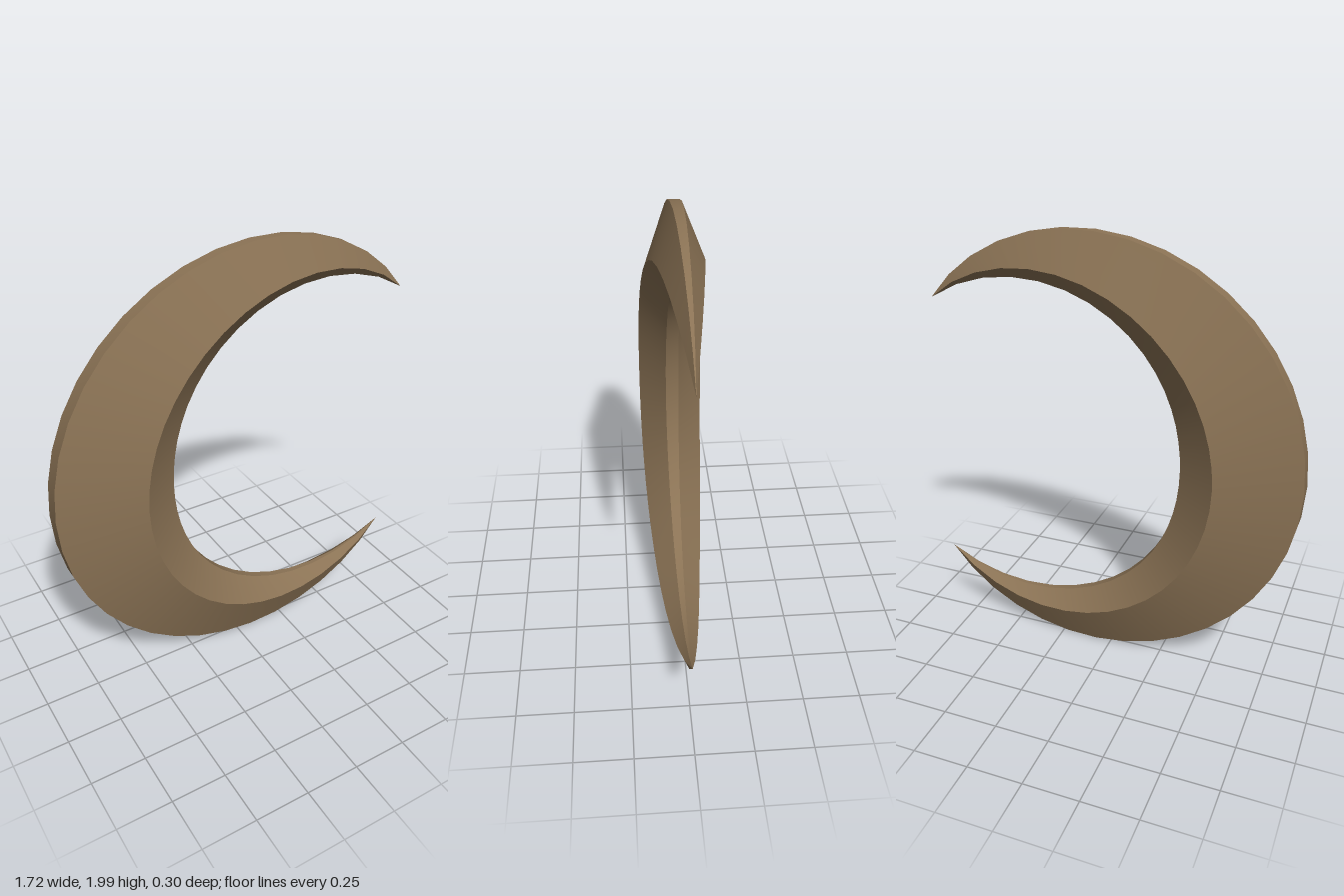
import * as THREE from 'three';
import { mergeGeometries } from 'three/addons/utils/BufferGeometryUtils.js';

const SEGMENTS = 32;
const CENTER_X = 0.14, CENTER_Y = 1;
const HALF_SWEEP = THREE.MathUtils.degToRad(138);

// Six-cornered cross-section at u (-1 = upper tip, 0 = thickest, 1 = lower tip)
function crossSection(u) {
  const a = Math.abs(u);
  const angle = Math.PI + u * HALF_SWEEP;
  const taper = Math.max(Math.cos(a * Math.PI / 2), 0.002);
  const outer = 1 - 0.037 * a ** 6;
  const ridge = outer - 0.36 * taper;
  const inner = outer - 0.535 * taper;
  const ridgeZ = 0.15 * Math.max(1 - a ** 2.5, 0.003);
  const edge = Math.max(1 - a * a, 0.003);
  const outerZ = 0.035 * edge, innerZ = 0.03 * edge;
  return [
    [ridge, ridgeZ], [outer, outerZ], [outer, -outerZ],
    [ridge, -ridgeZ], [inner, -innerZ], [inner, innerZ],
  ].map(([r, z]) => [CENTER_X + r * Math.cos(angle), CENTER_Y + r * Math.sin(angle), z]);
}

// One smooth strip per side of the section keeps the long edges sharp
function sideStrip(sections, side) {
  const positions = [], indices = [];
  sections.forEach((section, i) => {
    positions.push(...section[side], ...section[(side + 1) % 6]);
    if (i < sections.length - 1) {
      const a = 2 * i;
      indices.push(a, a + 1, a + 3, a, a + 3, a + 2);
    }
  });
  const geometry = new THREE.BufferGeometry();
  geometry.setAttribute('position', new THREE.Float32BufferAttribute(positions, 3));
  geometry.setIndex(indices);
  geometry.computeVertexNormals();
  return geometry;
}

export function createModel() {
  const group = new THREE.Group();
  group.name = 'crescent';

  const bronze = new THREE.MeshStandardMaterial({ color: 0x8b7355 });
  bronze.name = 'dull bronze';

  // Crescent blade
  const sections = Array.from({ length: SEGMENTS + 1 }, (_, i) => crossSection(2 * i / SEGMENTS - 1));
  const strips = Array.from({ length: 6 }, (_, side) => sideStrip(sections, side));
  const blade = new THREE.Mesh(mergeGeometries(strips), bronze);
  blade.name = 'crescentBlade';
  group.add(blade);

  return group;
}
